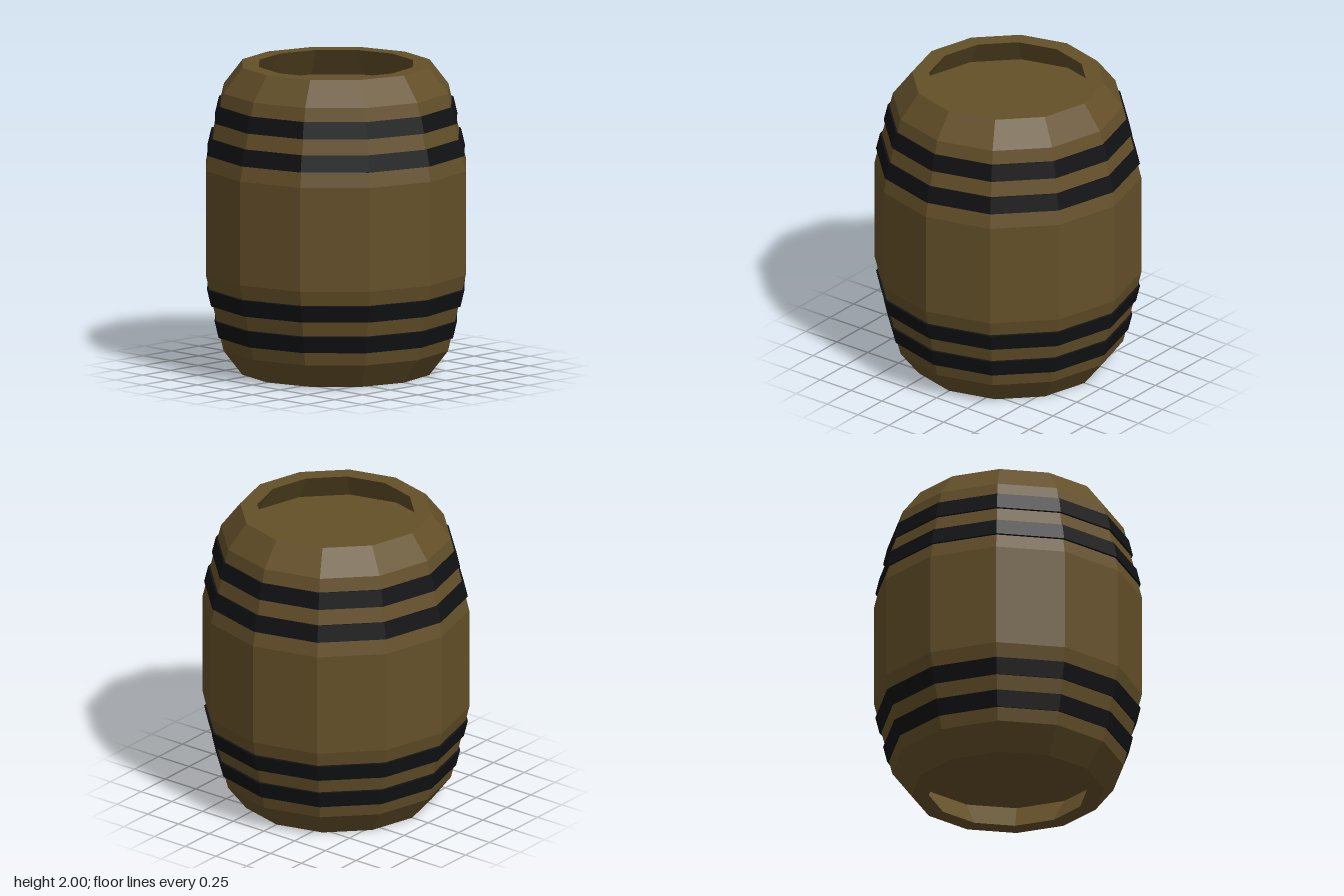
import * as THREE from 'three';

const SIDES = 12;
const wood = new THREE.MeshStandardMaterial({ color: 0x645029, flatShading: true });
const iron = new THREE.MeshStandardMaterial({ color: 0x111214, flatShading: true });

// Faceted solid of revolution from [radius, height] pairs, listed counter-clockwise
function lathe(name, profile, material) {
  const points = profile.map(([r, y]) => new THREE.Vector2(r, y));
  const mesh = new THREE.Mesh(new THREE.LatheGeometry(points, SIDES), material);
  mesh.name = name;
  return mesh;
}

export function createModel() {
  const barrel = new THREE.Group();
  barrel.name = 'barrel';

  // Lower half of the body: head set behind an undercut rim, chamfer, flared staves
  const lower = [[0, 0.18], [0.63, 0.18], [0.51, 0], [0.62, 0], [0.745, 0.162], [0.863, 0.662]];
  const upper = lower.map(([r, y]) => [r, 2 - y]).reverse();
  barrel.add(lathe('woodenBody', [...lower, ...upper], wood));

  // Hoops follow the slope of the staves: [bottom, top, bottom radius, top radius]
  const hoops = [
    ['outerHoop', 0.247, 0.355, 0.778, 0.804],
    ['innerHoop', 0.455, 0.563, 0.828, 0.854],
  ];
  const thickness = 0.035;
  for (const [name, y0, y1, r0, r1] of hoops) {
    const section = [
      [r0, y0], [r1, y1],
      [r1 - thickness, y1 + 0.008], [r0 - thickness, y0 + 0.008],
      [r0, y0],
    ];
    barrel.add(lathe(name + 'Bottom', section, iron));
    // Mirrored to the upper half, reversed to keep faces outward
    const mirrored = section.map(([r, y]) => [r, 2 - y]).reverse();
    barrel.add(lathe(name + 'Top', mirrored, iron));
  }
  return barrel;
}
